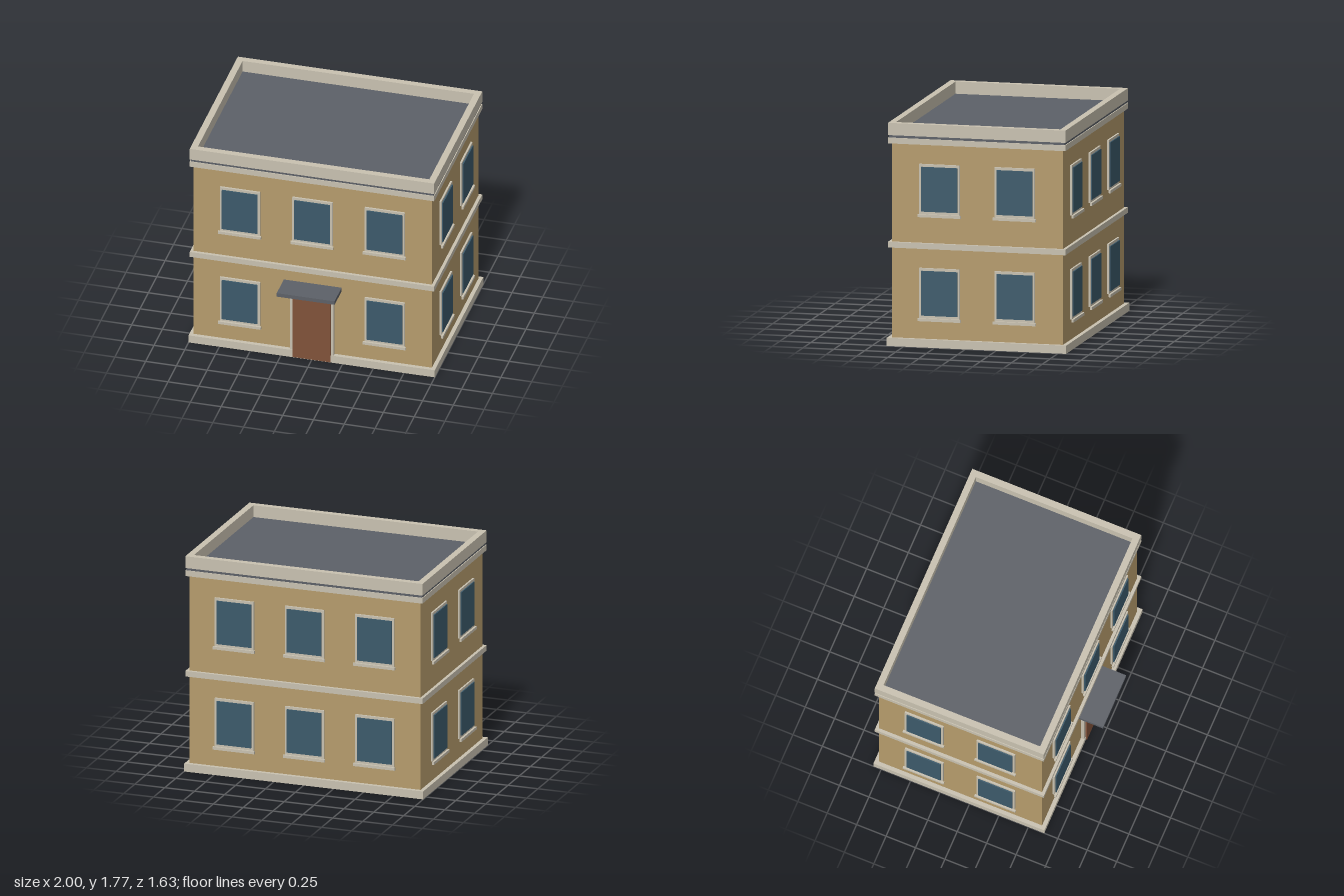
import * as THREE from 'three';

const mat = (name, color) => {
  const m = new THREE.MeshStandardMaterial({ color });
  m.name = name;
  return m;
};

export function createModel() {
  const wall = mat('ochre wall', 0xb69c6c);
  const trim = mat('stone trim', 0xc9c2b1);
  const roof = mat('slate roof', 0x5d6168);
  const glass = mat('blue glass', 0x3c5a6b);
  const wood = mat('brown door', 0x80523a);

  const model = new THREE.Group();
  model.name = 'townHouse';
  // House is offset back so the canopy is included in the centring
  const house = new THREE.Group();
  house.name = 'house';
  house.position.z = -0.09;
  model.add(house);

  // Box given by its min and max along each axis
  const box = (parent, name, material, [x0, x1], [y0, y1], [z0, z1]) => {
    const mesh = new THREE.Mesh(new THREE.BoxGeometry(x1 - x0, y1 - y0, z1 - z0), material);
    mesh.position.set((x0 + x1) / 2, (y0 + y1) / 2, (z0 + z1) / 2);
    mesh.name = name;
    parent.add(mesh);
  };
  const layer = (name, material, hx, hz, y0, y1) =>
    box(house, name, material, [-hx, hx], [y0, y1], [-hz, hz]);

  const HX = 0.968, HZ = 0.693;

  // Stacked body layers
  layer('plinth', trim, 1, 0.726, 0, 0.065);
  layer('walls', wall, HX, HZ, 0.065, 1.612);
  layer('floorBand', trim, 0.993, 0.718, 0.783, 0.828);
  layer('cornice', trim, 0.993, 0.718, 1.612, 1.658);
  layer('roofSlab', roof, 0.986, 0.711, 1.658, 1.678);

  // Parapet around the flat roof
  const px = 0.993, pz = 0.718, pt = 0.053;
  for (const s of [-1, 1]) {
    const zs = [s * pz, s * (pz - pt)].sort((a, b) => a - b);
    const xs = [s * px, s * (px - pt)].sort((a, b) => a - b);
    box(house, 'parapetLong', trim, [-px, px], [1.678, 1.775], zs);
    box(house, 'parapetSide', trim, xs, [1.678, 1.775], [-pz + pt, pz - pt]);
  }

  // Window facing +z with its back on z = 0; y is the bottom of the glass
  const addWindow = (side, x, y) => {
    const w = new THREE.Group();
    w.name = 'window';
    w.position.set(x, y, 0);
    box(w, 'windowFrame', trim, [-0.163, 0.163], [-0.022, 0.377], [0, 0.015]);
    box(w, 'windowGlass', glass, [-0.145, 0.145], [0, 0.356], [0.015, 0.025]);
    box(w, 'windowSill', trim, [-0.174, 0.174], [-0.044, -0.021], [0.015, 0.032]);
    side.add(w);
  };

  // Four facades, each turned outwards
  const facades = [
    ['front', 0, HZ, [-0.588, 0, 0.588]],
    ['left', Math.PI / 2, HX, [-0.304, 0.304]],
    ['back', Math.PI, HZ, [-0.588, 0, 0.588]],
    ['right', -Math.PI / 2, HX, [-0.304, 0.304]],
  ];
  for (const [name, angle, dist, columns] of facades) {
    const side = new THREE.Group();
    side.name = name + 'Facade';
    side.rotation.y = angle;
    side.position.set(Math.sin(angle) * dist, 0, Math.cos(angle) * dist);
    house.add(side);
    for (const x of columns) {
      for (const y of [0.252, 1.08]) {
        // The entrance takes the middle of the front ground floor
        if (name === 'front' && x === 0 && y < 1) continue;
        addWindow(side, x, y);
      }
    }
  }

  // Entrance: frame, door and canopy
  box(house, 'doorFrame', trim, [-0.178, 0.178], [0.005, 0.618], [HZ, HZ + 0.028]);
  box(house, 'door', wood, [-0.154, 0.154], [0.008, 0.595], [HZ + 0.028, HZ + 0.043]);
  box(house, 'canopy', roof, [-0.235, 0.235], [0.65, 0.682], [HZ, HZ + 0.213]);

  return model;
}
